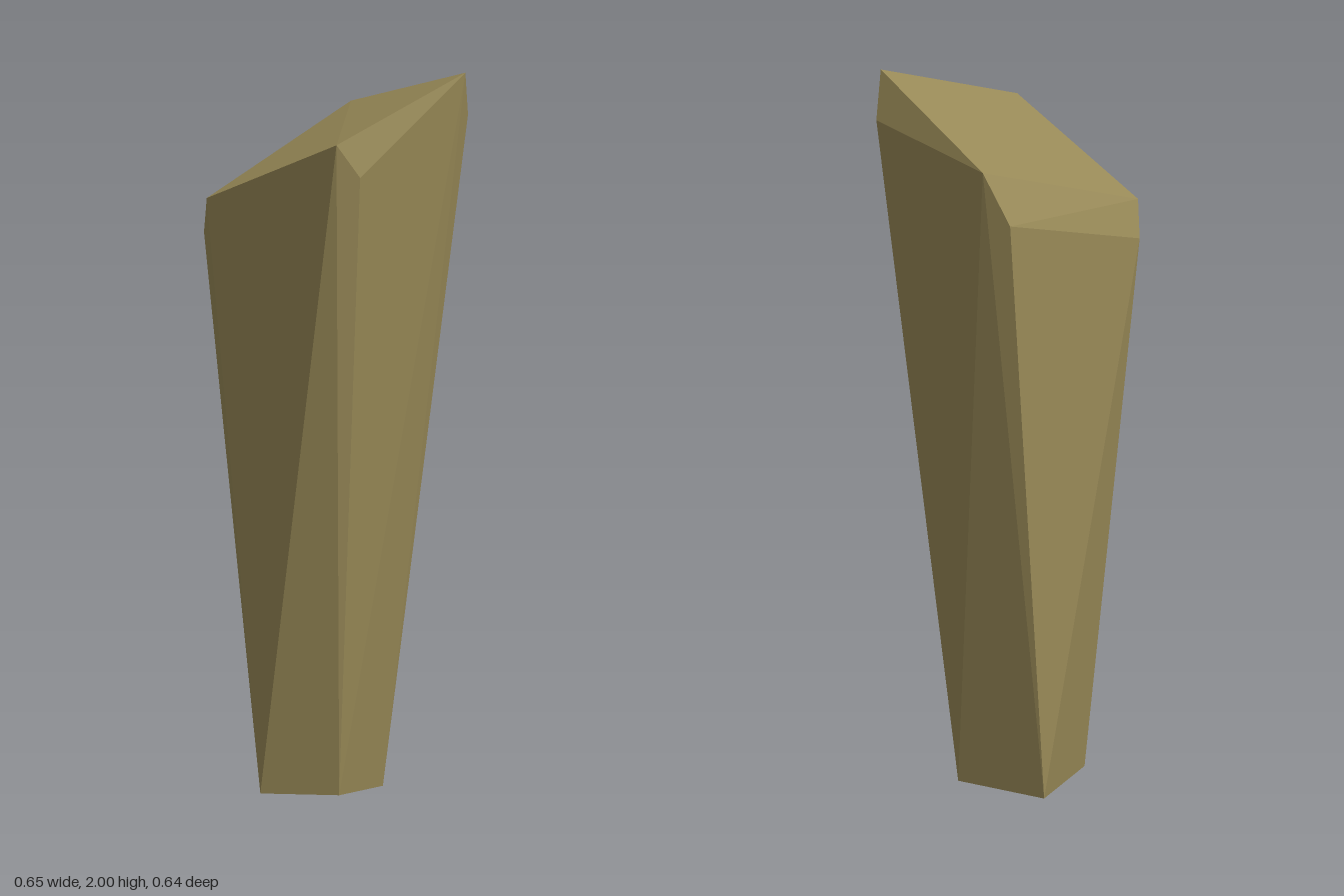
import * as THREE from 'three';
import { ConvexGeometry } from 'three/addons/geometries/ConvexGeometry.js';

export function createModel() {
  const model = new THREE.Group();
  model.name = 'stonePillar';

  const stone = new THREE.MeshStandardMaterial({ color: 0x9a8b58, flatShading: true });
  stone.name = 'ochreStone';

  // Corners run back left, back right, front right, front left as seen from the front
  const topRim = [[-0.172, 1.86, -0.323], [0.323, 2, -0.108], [0.168, 1.84, 0.321], [-0.296, 1.65, 0.239]];
  const chamfer = [[-0.242, 1.71, -0.292], [0.296, 1.875, -0.167], [0.207, 1.745, 0.26], [-0.324, 1.55, 0.207]];
  const foot = [[-0.238, 0, -0.125], [0.04, 0, -0.14], [0.032, 0, 0.08], [-0.172, 0, 0.16]];

  // Faceted, tapering shard with a slanted, chamfered top
  const corners = [...topRim, ...chamfer, ...foot].map((p) => new THREE.Vector3(...p));
  const shard = new THREE.Mesh(new ConvexGeometry(corners), stone);
  shard.name = 'shard';
  model.add(shard);

  return model;
}
